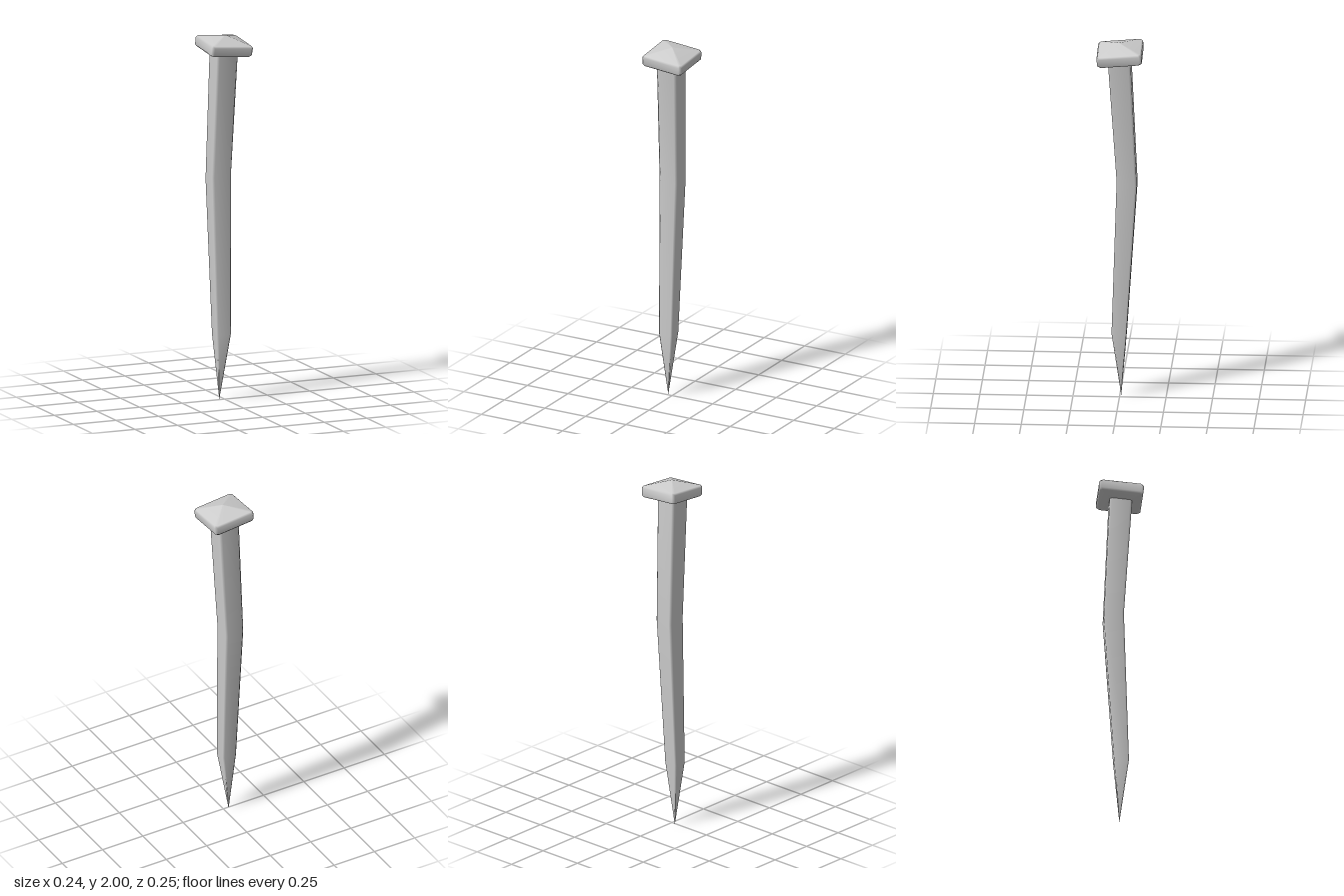
import * as THREE from 'three';

// Chamfered-square outline, counterclockwise seen from above
function outline(hx, hz, c) {
  const x = hx - c, z = hz - c;
  return [[hx, z], [hx, -z], [x, -hz], [-x, -hz], [-hx, -z], [-hx, z], [-x, hz], [x, hz]];
}

// Skin between stacked rings, listed from bottom to top
function loft(rings) {
  const pos = [], index = [];
  rings.forEach(({ x = 0, y, z = 0, hx, hz = hx, c = 0, tilt = 0 }, i) => {
    outline(hx, hz, c).forEach(([px, pz], j) => {
      pos.push(x + px, y + tilt * pz, z + pz);
      if (i === 0) return;
      const k = (j + 1) % 8, lo = (i - 1) * 8, hi = i * 8;
      if (rings[i - 1].hx > 0) index.push(lo + j, lo + k, hi + j);
      if (hx > 0) index.push(lo + k, hi + k, hi + j);
    });
  });
  const geo = new THREE.BufferGeometry();
  geo.setAttribute('position', new THREE.Float32BufferAttribute(pos, 3));
  geo.setIndex(index);
  geo.computeVertexNormals();
  return geo;
}

export function createModel() {
  const group = new THREE.Group();
  group.name = 'bentNail';
  const material = new THREE.MeshStandardMaterial({ color: 0xcccccc });

  // Shaft: pointed tip, taper, bend, then up into the head
  const shaft = new THREE.Mesh(loft([
    { x: -0.028, y: 0, z: -0.008, hx: 0 },
    { x: -0.02, y: 0.36, z: 0.002, hx: 0.041, hz: 0.04, c: 0.008 },
    { x: -0.02, y: 1.21, z: -0.04, hx: 0.055, hz: 0.054, c: 0.011, tilt: 0.25 },
    { x: -0.005, y: 1.915, z: 0, hx: 0.061, c: 0.012 },
  ]), material);
  shaft.name = 'shaft';

  // Head: shallow pyramid over a bevelled square slab, slightly tilted
  const head = new THREE.Mesh(loft([
    { y: -0.045, hx: 0 },
    { y: -0.045, hx: 0.062, c: 0.008 },
    { y: -0.03, hx: 0.112, c: 0.012 },
    { y: -0.021, hx: 0.12, c: 0.013 },
    { y: 0.019, hx: 0.121, c: 0.013 },
    { y: 0.029, hx: 0.114, c: 0.012 },
    { y: 0.062, hx: 0 },
  ]), material);
  head.name = 'head';
  head.position.set(-0.003, 1.938, -0.003);
  head.rotation.set(0.088, 0, -0.088);

  group.add(shaft, head);
  return group;
}
